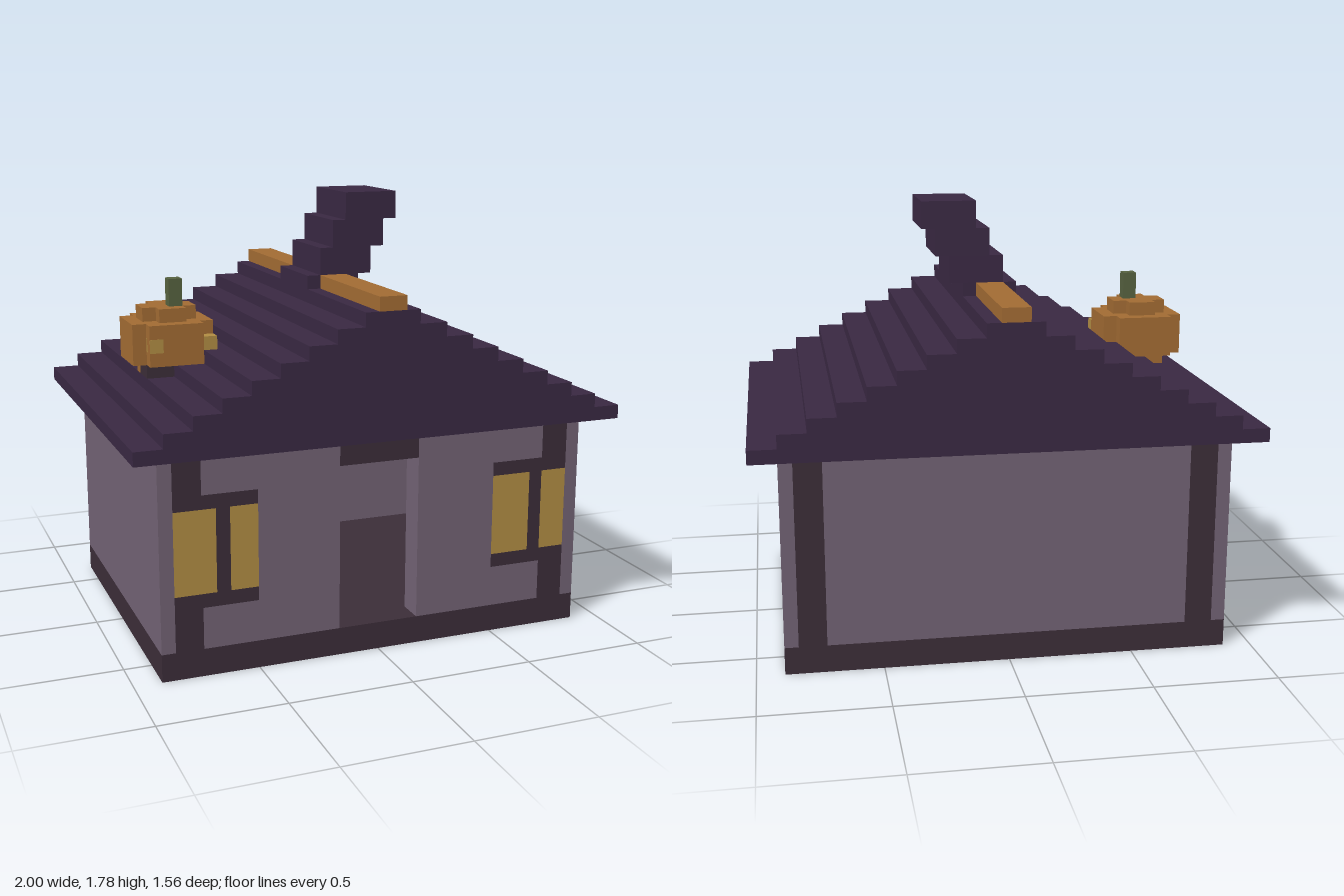
import * as THREE from 'three';

const U = 1 / 18; // one block

const mat = (color) => new THREE.MeshStandardMaterial({ color, flatShading: true });

export function createModel() {
  const house = new THREE.Group();
  house.name = 'cottage';

  const plaster = mat(0x716273), timber = mat(0x3b2d38), roofing = mat(0x392842);
  const glow = mat(0xb08c43), orange = mat(0xa16b33), green = mat(0x56613f);

  const group = (name) => {
    const g = new THREE.Group();
    g.name = name;
    house.add(g);
    return g;
  };
  // box between block coordinates
  const box = (parent, name, material, x0, x1, y0, y1, z0, z1) => {
    const geo = new THREE.BoxGeometry((x1 - x0) * U, (y1 - y0) * U, (z1 - z0) * U);
    const m = new THREE.Mesh(geo, material);
    m.position.set((x0 + x1) / 2 * U, (y0 + y1) / 2 * U, (z0 + z1) / 2 * U);
    m.name = name;
    parent.add(m);
  };

  // foundation, whose top is the floor of the hollow room
  box(house, 'foundation', timber, -16, 16, 0, 2, -12, 12);

  // side walls
  const walls = group('walls');
  for (const s of [-1, 1]) {
    const xs = [14 * s, 16 * s].sort((a, b) => a - b);
    box(walls, 'sideWall', plaster, ...xs, 2, 16, -10, 10);
  }

  // back wall with two timber posts
  for (const [a, b, m] of [[-16, -15, plaster], [-15, -13, timber], [-13, 13, plaster], [13, 15, timber], [15, 16, plaster]])
    box(walls, m === timber ? 'backPost' : 'backWall', m, a, b, 2, 16, -12, -10);

  // front wall around the doorway
  const front = group('frontWall');
  const slab = (name, m, x0, x1, y0, y1) => box(front, name, m, x0, x1, y0, y1, 10, 12);
  for (const [a, b] of [[-16, -15], [-9, -3], [3, 9], [15, 16]]) slab('frontPanel', plaster, a, b, 2, 16);
  slab('doorLintel', timber, -3, 3, 14, 16);

  // windows with a post running above and below the outer half
  for (const [x, postX, panelX] of [[-15, -15, -13], [9, 13, 9]]) {
    for (const [y0, y1] of [[2, 5], [13, 16]]) {
      slab('frontPost', timber, postX, postX + 2, y0, y1);
      slab('frontPanel', plaster, panelX, panelX + 4, y0, y1);
    }
    slab('windowSill', timber, x, x + 6, 5, 6);
    slab('windowHead', timber, x, x + 6, 12, 13);
    slab('windowPane', glow, x, x + 3, 6, 12);
    slab('windowMullion', timber, x + 3, x + 4, 6, 12);
    slab('windowPane', glow, x + 4, x + 6, 6, 12);
  }

  // stepped roof and ridge beam
  const roof = group('roof');
  for (let i = 0; i < 9; i++) {
    const w = 18 - 2 * i;
    box(roof, 'roofStep', roofing, -w, w, 16 + i, 17 + i, -14, 14);
  }
  box(roof, 'ridgeBeam', orange, -1, 1, 25, 26, -14, 14);

  // crooked chimney
  const chimney = group('chimney');
  for (let i = 0; i < 4; i++)
    box(chimney, 'chimneyStep', roofing, i - 2, i + 2, 24 + 2 * i, 26 + 2 * i, -3, 3);

  // carved pumpkin sitting on the roof slope
  const pumpkin = group('pumpkin');
  const cross = (name, y0, y1, r) => {
    box(pumpkin, name, orange, -12 - r, -12 + r, y0, y1, 1 - r, r - 1);
    for (const z of [1 - r, r]) box(pumpkin, name, orange, -13 - r + 2, -11 + r - 2, y0, y1, z - 1, z);
  };
  cross('pumpkinBody', 20, 23, 3);
  cross('pumpkinTop', 23, 24, 2);
  cross('pumpkinBase', 19, 20, 2);
  box(pumpkin, 'pumpkinMouth', timber, -14.02, -12, 19, 19.98, 0, 2.02);
  box(pumpkin, 'pumpkinEye', glow, -14, -13, 21, 22, 2, 3.03);
  box(pumpkin, 'pumpkinEye', glow, -10, -9, 21, 22, 2, 3);
  box(pumpkin, 'pumpkinStem', green, -12, -11, 24, 26, 0, 1);

  return house;
}
